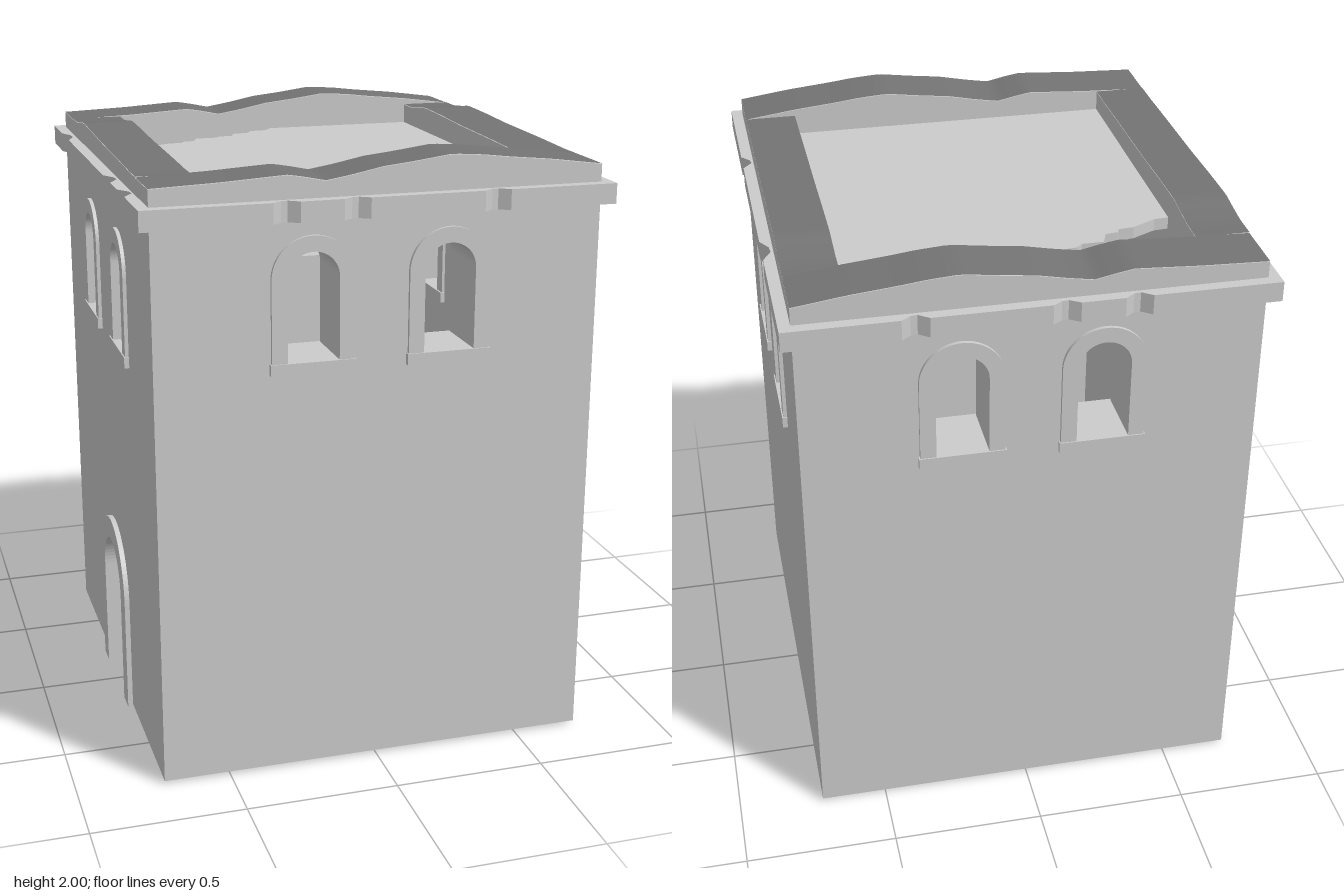
import * as THREE from 'three';

const HX = 0.718, HZ = 0.778;   // outer half sizes of the tower
const IX = 0.547, IZ = 0.59;    // inner half sizes
const BASE = 0.01;

const stone = new THREE.MeshStandardMaterial({ color: 0xcccccc });
const darkStone = new THREE.MeshStandardMaterial({ color: 0x747474 });

// Worn crest heights: along x for front and back, along z for the sides
const crestX = [[-0.718, 1.943], [-0.5, 1.951], [-0.4, 1.957], [-0.3, 1.963], [-0.25, 1.955], [-0.18, 1.94],
  [-0.1, 1.953], [0, 1.973], [0.1, 1.984], [0.22, 2], [0.32, 1.993], [0.4, 1.983], [0.55, 1.968], [0.718, 1.945]];
const crestZ = [[-0.778, 1.946], [-0.5, 1.946], [-0.42, 1.956], [-0.36, 1.965], [-0.2, 1.962], [0, 1.955],
  [0.3, 1.95], [0.5, 1.945], [0.778, 1.945]];

function heightAt(crest, t) {
  for (let i = 1; i < crest.length; i++) {
    const [a, ya] = crest[i - 1], [b, yb] = crest[i];
    if (t <= b) return ya + (yb - ya) * (t - a) / (b - a);
  }
  return crest[crest.length - 1][1];
}

function add(parent, name, geometry, material = stone) {
  const mesh = new THREE.Mesh(geometry, material);
  mesh.name = name;
  parent.add(mesh);
  return mesh;
}

// Round-headed opening: half width r, foot y0, springing height ys
function arch(path, u, r, y0, ys) {
  path.moveTo(u - r, y0);
  path.lineTo(u + r, y0);
  path.lineTo(u + r, ys);
  path.absarc(u, ys, r, 0, Math.PI, false);
  path.lineTo(u - r, y0);
  return path;
}

const extrude = (shape, depth, z = 0) =>
  new THREE.ExtrudeGeometry(shape, { depth, bevelEnabled: false, curveSegments: 16 }).translate(0, 0, z);

function windowFrame(wall, u, sillY, thickness) {
  const group = new THREE.Group();
  group.name = 'window';
  const foot = sillY + 0.035, spring = sillY + 0.2975;
  const frame = arch(new THREE.Shape(), u, 0.1325, foot, spring);
  frame.holes.push(arch(new THREE.Path(), u, 0.0825, foot + 0.0005, spring));
  add(group, 'windowSurround', extrude(frame, thickness + 0.022, -0.01));
  const sill = new THREE.BoxGeometry(0.274, 0.036, thickness + 0.032);
  add(group, 'windowSill', sill.translate(u, sillY + 0.018, thickness / 2));
  wall.add(group);
}

// One wall in its own frame: u to the right, outside facing +z
function makeWall(name, half, thickness, crest, sign, windowU, sillY, hasDoor) {
  const wall = new THREE.Group();
  wall.name = name;
  const top = u => heightAt(crest, sign * u);
  const steps = 48;

  const shape = new THREE.Shape();
  shape.moveTo(-half, BASE);
  if (hasDoor) {
    shape.lineTo(-0.2, BASE);
    shape.lineTo(-0.2, 0.388);
    shape.absarc(0, 0.388, 0.2, Math.PI, 0, true);
    shape.lineTo(0.2, BASE);
  }
  shape.lineTo(half, BASE);
  for (let i = 0; i <= steps; i++) {
    const u = half - 2 * half * i / steps;
    shape.lineTo(u, top(u));
  }
  for (const u of [-windowU, windowU])
    shape.holes.push(arch(new THREE.Path(), u, 0.12, sillY + 0.015, sillY + 0.2975));
  add(wall, 'wallBody', extrude(shape, thickness));

  // Dark weathered top of the wall
  const cap = new THREE.PlaneGeometry(2 * half, thickness, steps, 1).rotateX(-Math.PI / 2);
  const p = cap.attributes.position;
  for (let i = 0; i < p.count; i++) p.setY(i, top(p.getX(i)) + 0.002);
  cap.translate(0, 0, thickness / 2).computeVertexNormals();
  add(wall, 'wallCrest', cap, darkStone);

  for (const u of [-windowU, windowU]) windowFrame(wall, u, sillY, thickness);

  if (hasDoor) {
    const frame = new THREE.Shape();
    frame.moveTo(-0.232, 0);
    frame.lineTo(-0.155, 0);
    frame.lineTo(-0.155, 0.388);
    frame.absarc(0, 0.388, 0.155, Math.PI, 0, true);
    frame.lineTo(0.155, 0);
    frame.lineTo(0.232, 0);
    frame.lineTo(0.232, 0.388);
    frame.absarc(0, 0.388, 0.232, 0, Math.PI, false);
    add(wall, 'doorSurround', extrude(frame, thickness + 0.03, -0.013));
  }
  return wall;
}

// Projecting band with chipped edges; each chip is [centre, half width, depth]
function makeCornice() {
  const CX = 0.755, CZ = 0.815;
  const chipsX = [[-0.31, 0.042, 0.025], [-0.09, 0.042, 0.022], [0.36, 0.042, 0.025]];
  const chipsRight = [[-0.3, 0.062, 0.028], [0.36, 0.045, 0.03]];
  const chipsLeft = [[-0.55, 0.08, 0.025], [0.3, 0.065, 0.03], [0.54, 0.06, 0.032]];
  const pts = [];
  // Walk an edge, dropping inwards at each chip
  const edge = (chips, dir, put) => {
    const list = dir > 0 ? chips : [...chips].reverse();
    for (const [c, w, d] of list)
      for (const [k, f] of [[-1, 0], [-0.3, 0.9], [0.2, 1], [1, 0]]) put(c + dir * k * w, d * f);
  };
  pts.push([-CX, CZ]);
  edge(chipsX, 1, (t, d) => pts.push([t, CZ - d]));
  pts.push([CX, CZ]);
  edge(chipsRight, -1, (t, d) => pts.push([CX - d, t]));
  pts.push([CX, -CZ]);
  edge(chipsX, -1, (t, d) => pts.push([t, -CZ + d]));
  pts.push([-CX, -CZ]);
  edge(chipsLeft, 1, (t, d) => pts.push([-CX + d, t]));

  const shape = new THREE.Shape(pts.map(([x, z]) => new THREE.Vector2(x, -z)));
  const a = HX - 0.03, b = HZ - 0.03;
  shape.holes.push(new THREE.Path([[-a, -b], [-a, b], [a, b], [a, -b]].map(q => new THREE.Vector2(...q))));
  return extrude(shape, 0.065).rotateX(-Math.PI / 2).translate(0, 1.825, 0);
}

// Roof deck with its back corner broken away
function makeDeck() {
  const broken = [[-0.56, -0.31], [-0.5, -0.315], [-0.42, -0.355], [-0.37, -0.36], [-0.36, -0.38], [-0.32, -0.385],
    [-0.3, -0.435], [-0.23, -0.435], [-0.21, -0.455], [-0.16, -0.46], [-0.15, -0.5], [-0.09, -0.51],
    [-0.07, -0.545], [-0.01, -0.55], [0.025, -0.6]];
  const outline = [...broken, [0.56, -0.6], [0.56, 0.6], [-0.56, 0.6]];
  const shape = new THREE.Shape(outline.map(([x, z]) => new THREE.Vector2(x, -z)));
  return extrude(shape, 0.04).rotateX(-Math.PI / 2).translate(0, 1.84, 0);
}

export function createModel() {
  const tower = new THREE.Group();
  tower.name = 'ruinedTower';

  const tz = HZ - IZ, tx = HX - IX;
  const front = makeWall('frontWall', HX, tz, crestX, 1, 0.22, 1.35, false);
  front.position.z = IZ;
  const back = makeWall('backWall', HX, tz, crestX, -1, 0.22, 1.35, false);
  back.position.z = -IZ;
  back.rotation.y = Math.PI;
  const left = makeWall('leftWall', IZ, tx, crestZ, -1, 0.2475, 1.29, false);
  left.position.x = IX;
  left.rotation.y = Math.PI / 2;
  const right = makeWall('rightWall', IZ, tx, crestZ, 1, 0.2475, 1.29, true);
  right.position.x = -IX;
  right.rotation.y = -Math.PI / 2;
  tower.add(front, back, left, right);

  add(tower, 'cornice', makeCornice());
  add(tower, 'roofDeck', makeDeck());
  return tower;
}
